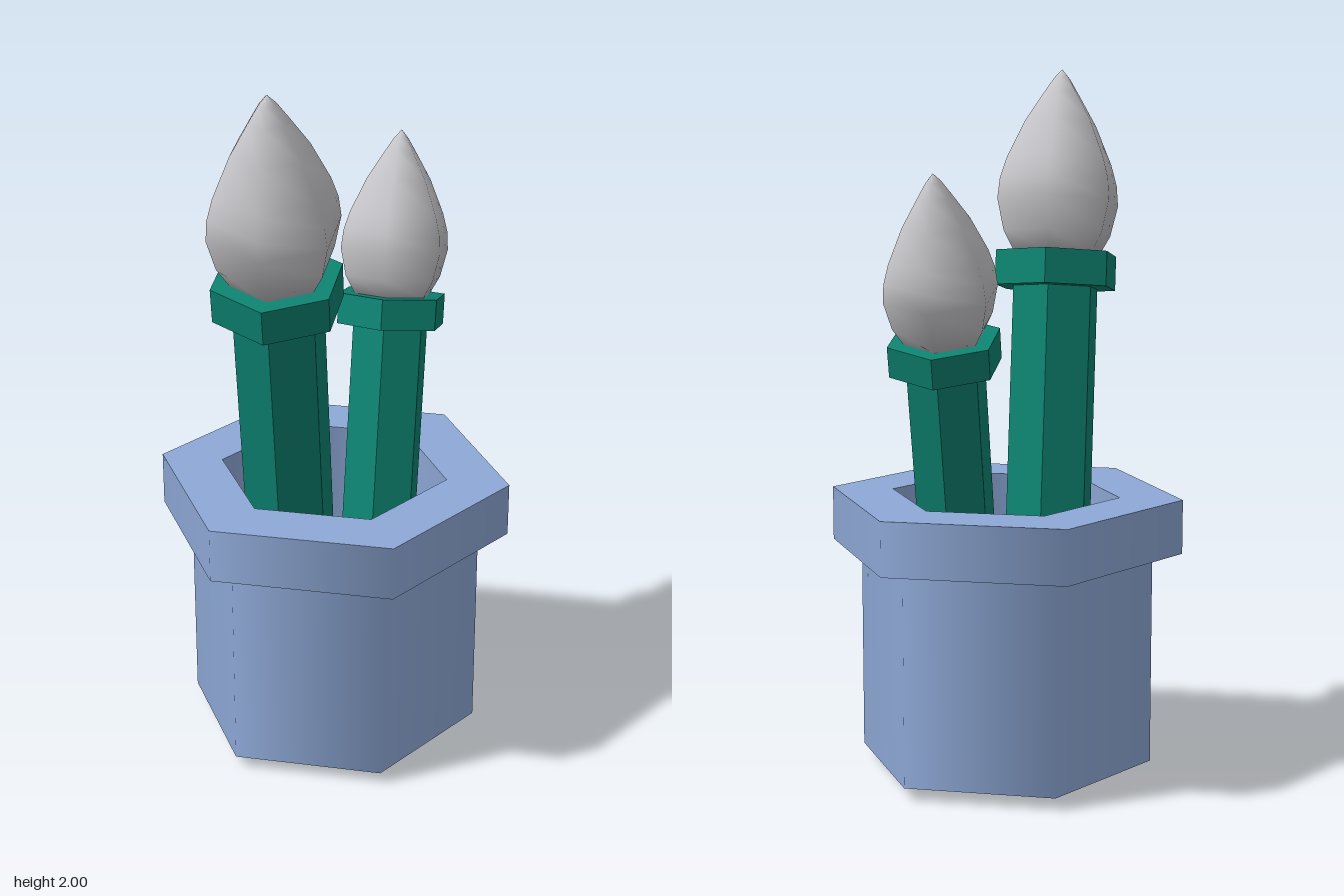
import * as THREE from 'three';

const potBlue = new THREE.MeshStandardMaterial({ name: 'potBlue', color: 0x8faad8 });
const stemGreen = new THREE.MeshStandardMaterial({ name: 'stemGreen', color: 0x0d8371 });
const budGrey = new THREE.MeshStandardMaterial({ name: 'budGrey', color: 0xc6c6ca });

function addMesh(parent, name, geometry, material) {
  const mesh = new THREE.Mesh(geometry, material);
  mesh.name = name;
  parent.add(mesh);
  return mesh;
}

// Six-sided surface of revolution, smooth around its axis
function hexLathe(points, start = 0) {
  return new THREE.LatheGeometry(points.map(([r, y]) => new THREE.Vector2(r, y)), 6, start);
}

// Hexagonal prism with hard edges, standing on height y
function hexPrism(radius, y, height) {
  const prism = new THREE.CylinderGeometry(radius, radius, height, 6).toNonIndexed();
  prism.computeVertexNormals();
  return prism.translate(0, y + height / 2, 0);
}

// Hollow pot: each step of the profile is its own band, so horizontal edges stay sharp
function createPot() {
  const pot = new THREE.Group();
  pot.name = 'pot';
  const profile = [
    ['base', 0, 0.035], ['body', 0.425, 0.035], ['rimUnderside', 0.425, 0.65],
    ['rimSide', 0.51, 0.65], ['rimTop', 0.51, 0.805], ['innerWall', 0.33, 0.805],
    ['floor', 0.33, 0.045], ['', 0, 0.045],
  ];
  for (let i = 0; i < profile.length - 1; i++) {
    const [name, r, y] = profile[i];
    const [, r2, y2] = profile[i + 1];
    addMesh(pot, name, hexLathe([[r, y], [r2, y2]], Math.PI / 6), potBlue);
  }
  return pot;
}

// Stem with a collar and a pointed bud, built upright and then leaned over
function createSprout(name, base, lean, scale) {
  const sprout = new THREE.Group();
  sprout.name = name;
  addMesh(sprout, 'stem', hexPrism(0.13, 0, 1.4), stemGreen);
  addMesh(sprout, 'collar', hexPrism(0.186, 1.373, 0.1), stemGreen);
  addMesh(sprout, 'bud', hexLathe([
    [0, 1.465], [0.13, 1.47], [0.165, 1.53], [0.187, 1.62], [0.181, 1.68],
    [0.162, 1.74], [0.11, 1.85], [0.055, 1.935], [0.025, 1.98], [0, 2.007],
  ]), budGrey);
  sprout.position.set(...base);
  sprout.scale.setScalar(scale);
  sprout.quaternion.setFromUnitVectors(
    new THREE.Vector3(0, 1, 0), new THREE.Vector3(...lean).normalize());
  return sprout;
}

export function createModel() {
  const model = new THREE.Group();
  model.name = 'pottedBuds';
  model.add(
    createPot(),
    createSprout('tallSprout', [-0.025, 0.025, -0.115], [-0.155, 1, 0.093], 1),
    createSprout('shortSprout', [-0.027, 0.028, 0.158], [0.224, 1, -0.125], 0.875),
  );
  return model;
}
